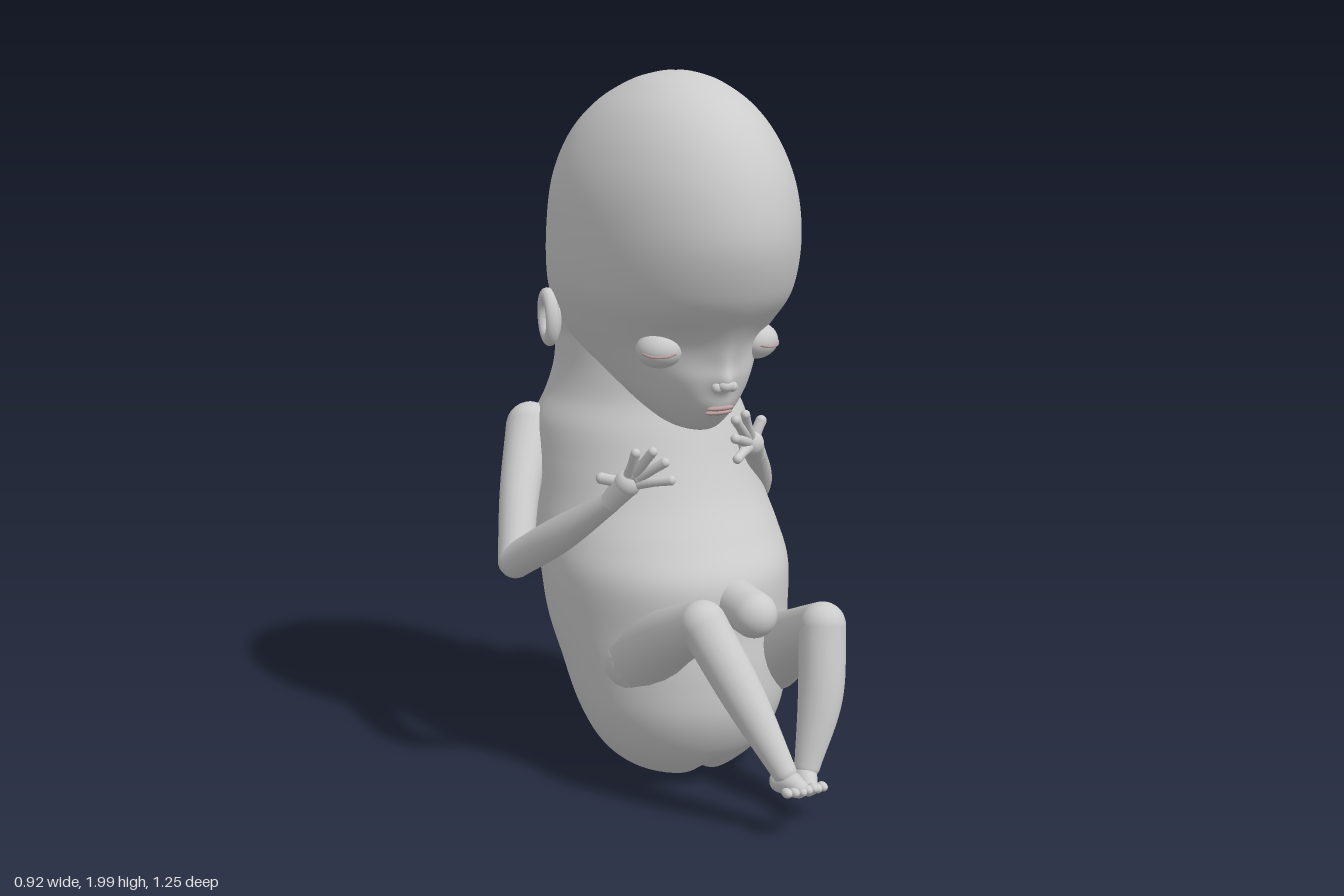
import * as THREE from 'three';

const CX = 0.045; // body midline
const skin = new THREE.MeshStandardMaterial({ color: 0xcccccc });
const lipSkin = new THREE.MeshStandardMaterial({ color: 0xb89c9c });
const V = (p) => new THREE.Vector3(...p);
const bell = (d, s) => Math.exp(-(d * d) / (2 * s * s));

function add(parent, name, geometry, material = skin) {
  const mesh = new THREE.Mesh(geometry, material);
  mesh.name = name;
  parent.add(mesh);
  return mesh;
}

function ball(parent, name, p, r, scale = [1, 1, 1], material = skin) {
  const m = add(parent, name, new THREE.SphereGeometry(r, 28, 20), material);
  m.position.set(...p);
  m.scale.set(...scale);
  return m;
}

// Smooth loft of egg-shaped sections [y, halfWidth, zBack, zFront], bottom to top
function loft(sections, rule, rings = 110, sides = 144) {
  const size = new THREE.CatmullRomCurve3(sections.map((s) => V([s[0], s[1], 0])), false, 'catmullrom');
  const depth = new THREE.CatmullRomCurve3(sections.map((s) => V([s[2], s[3], 0])), false, 'catmullrom');
  const pos = [], index = [];
  for (let i = 0; i <= rings; i++) {
    const a = size.getPoint(i / rings), b = depth.getPoint(i / rings);
    const mid = b.x * 0.55 + b.y * 0.45;
    for (let j = 0; j < sides; j++) {
      const t = (j / sides) * Math.PI * 2, s = Math.sin(t);
      const p = V([a.y * Math.cos(t), a.x, mid + (s > 0 ? b.y - mid : mid - b.x) * s]);
      rule(p, s);
      pos.push(p.x + CX, p.y, p.z);
      if (i < rings) {
        const k = i * sides + j, n = i * sides + ((j + 1) % sides);
        index.push(k, k + sides, n, k + sides, n + sides, n);
      }
    }
  }
  const g = new THREE.BufferGeometry();
  g.setAttribute('position', new THREE.Float32BufferAttribute(pos, 3));
  g.setIndex(index);
  g.computeVertexNormals();
  return g;
}

// Tapering round limb through points [x, y, z, radius], with rounded ends
function limb(parent, name, pts, segs = 40, sides = 20) {
  const group = new THREE.Group();
  group.name = name;
  parent.add(group);
  const curve = new THREE.CatmullRomCurve3(pts.map((p) => V(p.slice(0, 3))));
  const radii = new THREE.CatmullRomCurve3(pts.map((p) => V([p[3], 0, 0])), false, 'catmullrom');
  const g = new THREE.TubeGeometry(curve, segs, 1, sides);
  const P = g.attributes.position, N = g.attributes.normal;
  for (let i = 0; i <= segs; i++) {
    const u = curve.getUtoTmapping(i / segs), c = curve.getPoint(u), r = radii.getPoint(u).x;
    for (let j = 0; j <= sides; j++) {
      const k = i * (sides + 1) + j;
      P.setXYZ(k, c.x + N.getX(k) * r, c.y + N.getY(k) * r, c.z + N.getZ(k) * r);
    }
  }
  add(group, name + 'Shaft', g);
  for (const p of [pts[0], pts[pts.length - 1]]) {
    const end = add(group, name + 'End', new THREE.SphereGeometry(p[3], 20, 14));
    end.position.set(p[0], p[1], p[2]);
  }
  return group;
}

// Palm with a fan of fingers reaching to the given tips (last one is the thumb)
function hand(parent, name, wrist, palm, tips) {
  const group = new THREE.Group();
  group.name = name;
  parent.add(group);
  limb(group, 'palm', [[...wrist, 0.03], [...palm, 0.037]], 10, 16);
  const c = V(palm);
  tips.forEach((tip, i) => {
    const t = V(tip), root = c.clone().lerp(t, 0.28), mid = c.clone().lerp(t, 0.65);
    const r = i === tips.length - 1 ? 0.016 : 0.0135;
    limb(group, i === tips.length - 1 ? 'thumb' : 'finger',
      [[...root.toArray(), r + 0.004], [...mid.toArray(), r], [...tip, r]], 12, 12);
  });
}

function foot(parent, name, heel, toe) {
  const group = new THREE.Group();
  group.name = name;
  parent.add(group);
  const h = V(heel), t = V(toe), mid = h.clone().lerp(t, 0.5);
  limb(group, 'sole', [[...heel, 0.032], [mid.x, mid.y + 0.005, mid.z, 0.034], [...toe, 0.026]], 16, 16);
  for (let i = 0; i < 5; i++) {
    const o = (i - 2) * 0.02;
    ball(group, 'toe', [toe[0] + o, toe[1] - 0.004, toe[2] + 0.014 - Math.abs(o) * 0.2], 0.015, [0.9, 0.9, 1.3]);
  }
}

export function createModel() {
  const model = new THREE.Group();
  model.name = 'fetus';

  // Trunk, with the cleft between the buttocks
  add(model, 'torso', loft([
    [0, 0.004, -0.07, -0.05], [0.012, 0.11, -0.14, 0.04], [0.05, 0.19, -0.21, 0.1], [0.12, 0.255, -0.28, 0.17],
    [0.22, 0.3, -0.35, 0.215], [0.34, 0.325, -0.42, 0.22], [0.46, 0.345, -0.49, 0.21], [0.6, 0.355, -0.53, 0.205],
    [0.7, 0.35, -0.57, 0.14], [0.8, 0.335, -0.61, 0.07], [0.9, 0.325, -0.622, 0.02], [1.0, 0.31, -0.605, -0.02],
    [1.08, 0.275, -0.575, -0.05], [1.16, 0.255, -0.55, -0.06], [1.25, 0.25, -0.54, -0.07],
    [1.34, 0.25, -0.53, -0.08], [1.4, 0.01, -0.31, -0.3]],
  (p, s) => {
    const groove = bell(p.x, 0.022) * (1 - THREE.MathUtils.smoothstep(p.y, 0.08, 0.32));
    if (s < 0) p.z -= groove * 0.05 * s;
    p.y += groove * 0.02 * (1 - THREE.MathUtils.smoothstep(p.y, 0, 0.1));
  }));

  // Head, with eye sockets, nose, cheeks and mouth shaped into the face
  add(model, 'head', loft([
    [1.015, 0.004, 0.02, 0.03], [1.03, 0.06, -0.1, 0.085], [1.07, 0.11, -0.2, 0.125], [1.12, 0.155, -0.32, 0.155],
    [1.18, 0.2, -0.45, 0.17], [1.24, 0.24, -0.52, 0.185], [1.32, 0.285, -0.55, 0.225], [1.42, 0.32, -0.555, 0.295],
    [1.56, 0.325, -0.555, 0.335], [1.7, 0.31, -0.53, 0.315], [1.82, 0.265, -0.47, 0.255], [1.91, 0.2, -0.37, 0.165],
    [1.97, 0.12, -0.25, 0.05], [1.995, 0.05, -0.16, -0.04], [2, 0.003, -0.11, -0.1]],
  (p, s) => {
    if (s <= 0) return;
    const ax = Math.abs(p.x), y = p.y;
    p.z += s * (0.028 * bell(p.x, 0.022) * bell(y - 1.175, 0.022) + 0.012 * bell(p.x, 0.016) * bell(y - 1.22, 0.03)
      - 0.03 * bell(ax - 0.15, 0.06) * bell(y - 1.285, 0.04) + 0.012 * bell(ax - 0.1, 0.04) * bell(y - 1.17, 0.035)
      + 0.014 * bell(p.x, 0.045) * bell(y - 1.1, 0.025));
  }));

  // Closed eyes and ears, mirrored about the midline
  for (const side of [-1, 1]) {
    const eye = new THREE.Group();
    eye.name = side > 0 ? 'leftEye' : 'rightEye';
    eye.position.set(CX + side * 0.15, 1.265, 0.085);
    eye.rotation.y = side * 0.5;
    model.add(eye);
    ball(eye, 'eyelid', [0, 0, 0], 0.06, [1.1, 0.85, 1]);
    const slit = [-0.045, -0.02, 0.02, 0.045].map((x) =>
      V([x, -0.004 - 0.008 * (1 - (x / 0.045) ** 2), 0.061 * Math.sqrt(1 - (x / 0.066) ** 2) - 0.001]));
    add(eye, 'lidLine', new THREE.TubeGeometry(new THREE.CatmullRomCurve3(slit), 20, 0.0035, 8), lipSkin);

    const ear = new THREE.Group();
    ear.name = side > 0 ? 'leftEar' : 'rightEar';
    ear.position.set(CX + side * 0.302, 1.31, -0.285);
    ear.rotation.set(-0.12, side * (Math.PI / 2 + 0.12), 0);
    model.add(ear);
    const rim = add(ear, 'earRim', new THREE.TorusGeometry(0.038, 0.014, 14, 36));
    rim.scale.set(1, 1.6, 1.4);
    rim.position.z = 0.008;
    ball(ear, 'earBowl', [0, 0, -0.008], 0.04, [1, 1.6, 0.45]);
    ball(ear, 'earLobe', [0, -0.055, 0.006], 0.02, [1, 1.1, 0.8]);
  }

  // Nose tip and lips
  ball(model, 'noseTip', [CX, 1.168, 0.185], 0.022, [1.1, 0.8, 0.9]);
  for (const side of [-1, 1]) ball(model, 'nostrilWing', [CX + side * 0.024, 1.163, 0.178], 0.015);
  for (const y of [1.101, 1.087]) ball(model, 'lip', [CX, y, y * 0.8 - 0.725], 0.016, [2.6, 0.5, 0.9], lipSkin);

  // Cord stump on the belly
  limb(model, 'cordStump', [[0.07, 0.56, 0.12, 0.085], [0.08, 0.55, 0.2, 0.066], [0.085, 0.54, 0.28, 0.065]], 24, 28);

  // Arms: shoulder, elbow, wrist
  limb(model, 'rightUpperArm', [[-0.265, 0.97, -0.42, 0.07], [-0.35, 0.81, -0.31, 0.057], [-0.415, 0.64, -0.2, 0.05]]);
  limb(model, 'rightForearm', [[-0.415, 0.64, -0.2, 0.05], [-0.355, 0.75, -0.03, 0.05], [-0.275, 0.865, 0.12, 0.03]]);
  hand(model, 'rightHand', [-0.275, 0.865, 0.12], [-0.248, 0.925, 0.17],
    [[-0.25, 1.02, 0.225], [-0.212, 1.025, 0.25], [-0.182, 0.995, 0.262], [-0.165, 0.945, 0.265], [-0.3, 0.935, 0.12]]);
  limb(model, 'leftUpperArm', [[0.335, 0.97, -0.43, 0.07], [0.375, 0.83, -0.38, 0.06], [0.405, 0.7, -0.33, 0.05]]);
  limb(model, 'leftForearm', [[0.405, 0.7, -0.33, 0.05], [0.34, 0.8, -0.17, 0.05], [0.265, 0.91, -0.04, 0.032]]);
  hand(model, 'leftHand', [0.265, 0.91, -0.04], [0.21, 0.96, 0.035],
    [[0.155, 1.06, 0.1], [0.118, 1.05, 0.11], [0.112, 1.0, 0.12], [0.122, 0.94, 0.115], [0.245, 1.02, 0.03]]);

  // Legs: hip, knee, ankle
  limb(model, 'rightThigh', [[-0.14, 0.38, 0.03, 0.11], [-0.125, 0.48, 0.19, 0.085], [-0.105, 0.555, 0.335, 0.066]]);
  limb(model, 'rightShin', [[-0.105, 0.555, 0.335, 0.066], [-0.04, 0.37, 0.45, 0.058], [0.03, 0.18, 0.545, 0.034]]);
  foot(model, 'rightFoot', [0.03, 0.15, 0.53], [0.05, 0.145, 0.59]);
  limb(model, 'leftThigh', [[0.26, 0.34, 0.06, 0.11], [0.255, 0.43, 0.22, 0.085], [0.235, 0.52, 0.395, 0.065]]);
  limb(model, 'leftShin', [[0.235, 0.52, 0.395, 0.065], [0.21, 0.33, 0.43, 0.062], [0.165, 0.14, 0.44, 0.036]]);
  foot(model, 'leftFoot', [0.165, 0.115, 0.41], [0.14, 0.1, 0.49]);

  return model;
}
